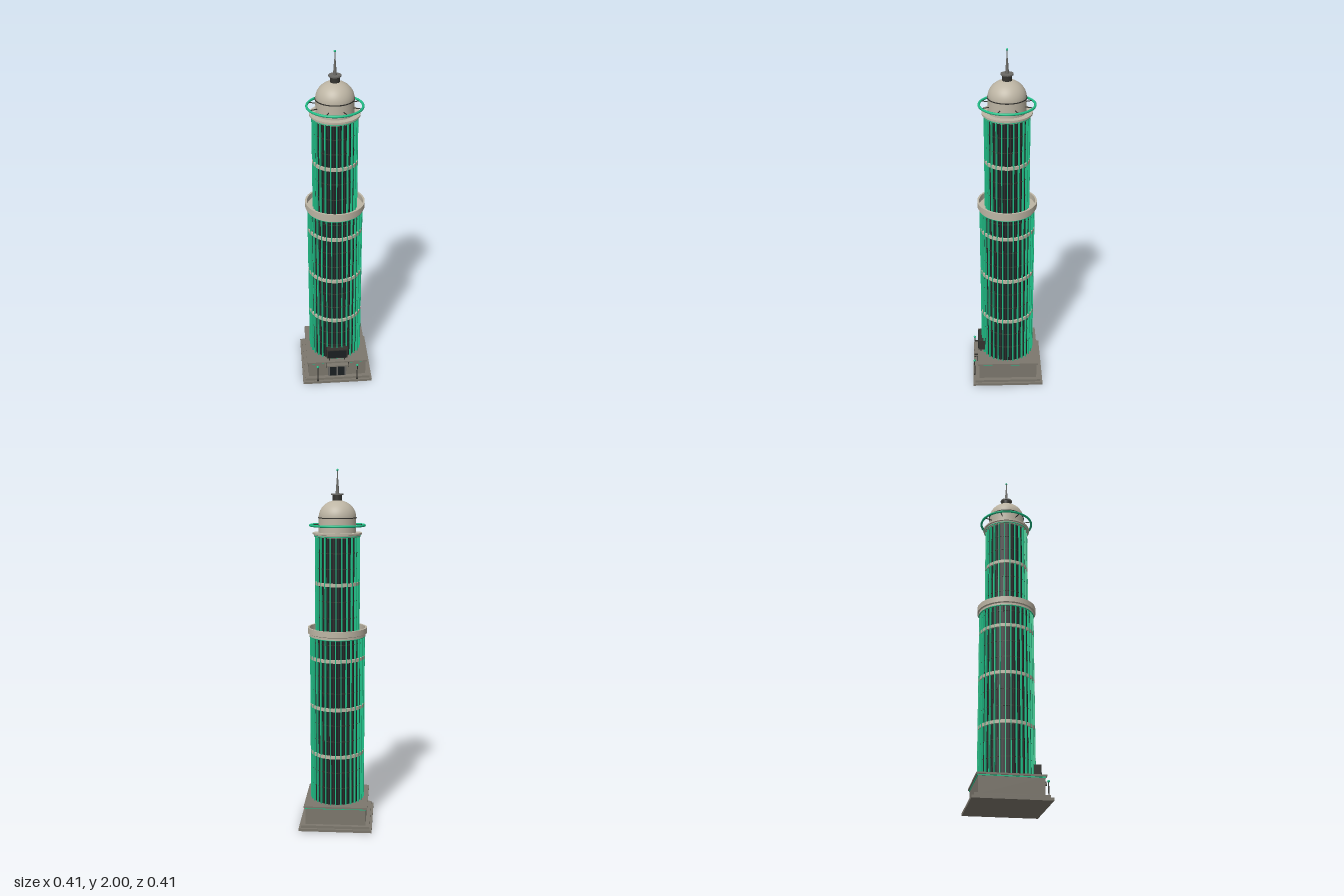
import * as THREE from 'three';

const mat = (name, color, side = THREE.FrontSide) => {
  const m = new THREE.MeshStandardMaterial({ color, side });
  m.name = name;
  return m;
};

export function createModel() {
  const stone = mat('dark stone', 0x7c776d);
  const pale = mat('pale stone', 0xbdb5a4, THREE.DoubleSide);
  const glass = mat('dark glass', 0x1b2022);
  const metal = mat('dark metal', 0x34332f);
  const green = mat('green', 0x20bf87);
  const steel = mat('grey steel', 0x6b6a66);

  const tower = new THREE.Group();
  tower.name = 'tower';

  const add = (name, geo, m, x = 0, y = 0, z = 0, parent = tower) => {
    const mesh = new THREE.Mesh(geo, m);
    mesh.name = name;
    mesh.position.set(x, y, z);
    parent.add(mesh);
    return mesh;
  };
  // box and cylinder are placed by their bottom and top heights
  const box = (name, m, w, y0, y1, d, x = 0, z = 0, parent = tower) =>
    add(name, new THREE.BoxGeometry(w, y1 - y0, d), m, x, (y0 + y1) / 2, z, parent);
  const cyl = (name, m, r0, r1, y0, y1, x = 0, z = 0, seg = 64) =>
    add(name, new THREE.CylinderGeometry(r1, r0, y1 - y0, seg), m, x, (y0 + y1) / 2, z);
  const ring = (name, m, r, tube, y) =>
    add(name, new THREE.TorusGeometry(r, tube, 10, 72).rotateX(Math.PI / 2), m, 0, y, 0);

  // stepped square base
  box('lowerStep', stone, 0.412, 0, 0.015, 0.412);
  box('upperStep', stone, 0.386, 0.015, 0.03, 0.386);
  box('baseBlock', stone, 0.34, 0.03, 0.128, 0.34);
  box('baseLightStrip', green, 0.346, 0.122, 0.128, 0.346);
  box('baseCornice', stone, 0.358, 0.128, 0.138, 0.358);

  // round glazed shaft: core, radial fins, mullions, floor lines and stone bands
  const shaft = (name, r, y0, y1, fins, floors, bands) => {
    const group = new THREE.Group();
    group.name = name;
    tower.add(group);
    const h = y1 - y0, mid = (y0 + y1) / 2;
    add(name + 'Core', new THREE.CylinderGeometry(r - 0.012, r - 0.012, h, 64), glass, 0, mid, 0, group);
    for (let i = 0; i < fins; i++) {
      const a = (i / fins) * Math.PI * 2;
      const fin = add('fin', new THREE.BoxGeometry(0.005, h, 0.014), green,
        Math.sin(a) * (r - 0.007), mid, Math.cos(a) * (r - 0.007), group);
      fin.rotation.y = a;
      const b = a + Math.PI / fins;
      const mullion = add('mullion', new THREE.BoxGeometry(0.003, h, 0.005), metal,
        Math.sin(b) * (r - 0.011), mid, Math.cos(b) * (r - 0.011), group);
      mullion.rotation.y = b;
    }
    for (const y of floors)
      add('floorLine', new THREE.CylinderGeometry(r - 0.009, r - 0.009, 0.004, 64), metal, 0, y, 0, group);
    for (const y of bands)
      add('stoneBand', new THREE.CylinderGeometry(r - 0.001, r - 0.001, 0.018, 64), pale, 0, y, 0, group);
  };
  shaft('lowerShaft', 0.154, 0.138, 1.09, 32,
    [0.235, 0.327, 0.51, 0.603, 0.787, 0.878, 1.06], [0.42, 0.695, 0.97]);
  shaft('upperShaft', 0.124, 1.1, 1.64, 24,
    [1.2, 1.293, 1.47, 1.555], [1.385]);

  // hollow terrace collar between the two shafts
  const lathe = (name, m, pts) => {
    // flat-sided profile: each segment is its own surface so edges stay sharp
    const g = new THREE.Group();
    g.name = name;
    tower.add(g);
    for (let i = 0; i < pts.length - 1; i++) {
      const seg = [pts[i], pts[i + 1]].map(([x, y]) => new THREE.Vector2(x, y));
      add(name + 'Face', new THREE.LatheGeometry(seg, 72), m, 0, 0, 0, g);
    }
  };
  lathe('terraceCollar', pale, [[0.12, 1.09], [0.157, 1.09], [0.157, 1.102], [0.165, 1.106],
    [0.165, 1.138], [0.155, 1.138], [0.155, 1.106], [0.12, 1.106]]);
  ring('collarLight', green, 0.154, 0.003, 1.088);

  // flared crown and roof
  lathe('crown', pale, [[0.11, 1.638], [0.125, 1.638], [0.128, 1.65], [0.135, 1.652],
    [0.135, 1.661], [0.0, 1.661]]);
  ring('crownLight', green, 0.125, 0.003, 1.643);

  // drum, dome and its trim
  cyl('drum', pale, 0.102, 0.102, 1.661, 1.738);
  cyl('domeTrim', metal, 0.105, 0.105, 1.738, 1.743);
  const dome = add('dome', new THREE.SphereGeometry(0.102, 64, 24, 0, Math.PI * 2, 0, Math.PI / 2), pale, 0, 1.743, 0);
  dome.scale.y = 0.9;

  // halo ring on eight struts
  ring('haloRing', green, 0.148, 0.0065, 1.7);
  for (let i = 0; i < 8; i++) {
    const a = ((i + 0.5) / 8) * Math.PI * 2;
    const strut = add('haloStrut', new THREE.BoxGeometry(0.004, 0.004, 0.05), metal,
      Math.sin(a) * 0.122, 1.7, Math.cos(a) * 0.122);
    strut.rotation.y = a;
  }

  // lantern and spire
  cyl('lantern', metal, 0.026, 0.026, 1.825, 1.862, 0, 0, 24);
  cyl('lanternCap', steel, 0.034, 0.034, 1.862, 1.869, 0, 0, 32);
  cyl('spire', steel, 0.01, 0.004, 1.869, 1.95, 0, 0, 16);
  cyl('antenna', steel, 0.003, 0.003, 1.95, 1.992, 0, 0, 10);
  add('beacon', new THREE.SphereGeometry(0.006, 16, 12), green, 0, 1.994, 0);

  // entrance: frame, double doors, canopy
  box('doorFrame', steel, 0.108, 0.03, 0.112, 0.012, 0, 0.172);
  for (const s of [-1, 1]) {
    box('door', glass, 0.04, 0.034, 0.104, 0.004, s * 0.024, 0.179);
    box('canopyBracket', metal, 0.004, 0.11, 0.132, 0.024, s * 0.067, 0.187);
    // lamp posts
    cyl('lampPost', metal, 0.003, 0.003, 0.015, 0.115, s * 0.118, 0.198, 10);
    cyl('lampFoot', metal, 0.006, 0.006, 0.015, 0.02, s * 0.118, 0.198, 12);
    add('lampGlobe', new THREE.SphereGeometry(0.007, 16, 12), green, s * 0.118, 0.12, 0.198);
  }
  box('canopy', stone, 0.142, 0.116, 0.124, 0.034, 0, 0.182);
  box('canopyLight', green, 0.13, 0.114, 0.116, 0.004, 0, 0.194);

  // blank billboard above the entrance
  box('billboard', metal, 0.124, 0.16, 0.222, 0.04, 0, 0.154);
  box('billboardScreen', glass, 0.112, 0.166, 0.216, 0.003, 0, 0.175);
  for (const s of [-1, 1]) box('billboardLeg', metal, 0.006, 0.138, 0.16, 0.006, s * 0.045, 0.16);

  return tower;
}
